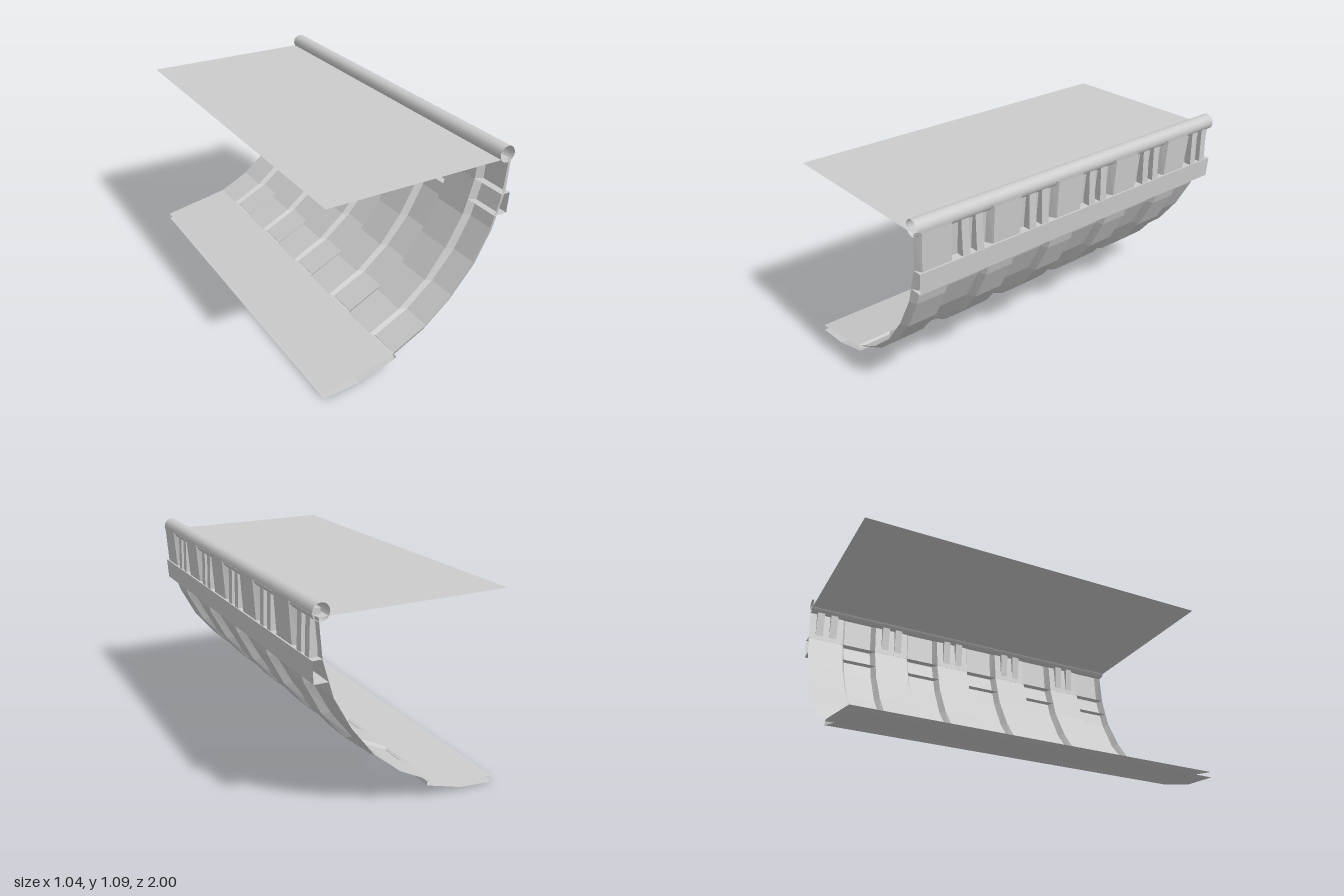
import * as THREE from 'three';

const material = new THREE.MeshStandardMaterial({ color: 0xcccccc, flatShading: true, side: THREE.DoubleSide });
const smooth = new THREE.MeshStandardMaterial({ color: 0xcccccc, side: THREE.DoubleSide });

// Skin a list of sections, each { z, profile: [[x, y], ...] }, ordered from front to back.
function skin(name, sections) {
  const positions = [];
  const index = [];
  const n = sections[0].profile.length;
  for (const { z, profile } of sections) for (const [x, y] of profile) positions.push(x, y, z);
  for (let s = 0; s < sections.length - 1; s++) {
    for (let i = 0; i < n - 1; i++) {
      const a = s * n + i, b = a + 1, c = a + n, d = c + 1;
      index.push(a, c, b, b, c, d);
    }
  }
  const geometry = new THREE.BufferGeometry();
  geometry.setAttribute('position', new THREE.Float32BufferAttribute(positions, 3));
  geometry.setIndex(index);
  geometry.computeVertexNormals();
  const mesh = new THREE.Mesh(geometry, material);
  mesh.name = name;
  return mesh;
}

// Straight strip of one profile between two z positions
const strip = (name, profile, z0 = 1, z1 = -1) =>
  skin(name, [{ z: z0, profile }, { z: z1, profile }]);

// Side profiles from bilge to rail: raised ribs and the recessed bays between them
const RAISED = [[-0.115, 0.1], [0.075, 0.195], [0.225, 0.32], [0.35, 0.47], [0.44, 0.64],
  [0.5, 0.83], [0.514, 1.03], [0.516, 1.045]];
const RECESSED = [[-0.135, 0.105], [0.04, 0.195], [0.19, 0.32], [0.31, 0.475], [0.405, 0.645],
  [0.46, 0.83], [0.48, 1.025], [0.516, 1.045]];

const BAYS = 5, PITCH = 0.4, BEVEL = 0.02, RIB = 0.16;

export function createModel() {
  const group = new THREE.Group();

  // Corrugated side wall
  const sections = [];
  for (let i = 0; i < BAYS; i++) {
    const z = 1 - i * PITCH;
    sections.push(
      { z, profile: RECESSED },
      { z: z - BEVEL, profile: RAISED },
      { z: z - BEVEL - RIB, profile: RAISED },
      { z: z - 2 * BEVEL - RIB, profile: RECESSED });
  }
  sections.push({ z: -1, profile: RECESSED });
  group.add(skin('sideWall', sections));

  // Two upright bars in each upper bay
  const bar = [[0.465, 0.835], [0.505, 0.835], [0.5, 1.055], [0.45, 1.055]];
  const barShape = new THREE.Shape(bar.map(([x, y]) => new THREE.Vector2(x, y)));
  const barGeometry = new THREE.ExtrudeGeometry(barShape, { depth: 0.042, bevelEnabled: false });
  for (let i = 0; i < BAYS; i++) {
    for (const offset of [-0.04, 0.04]) {
      const mesh = new THREE.Mesh(barGeometry, material);
      mesh.name = 'windowBar';
      mesh.position.z = 0.7 - i * PITCH + offset - 0.021;
      group.add(mesh);
    }
  }

  // Long rubbing strake below the bays
  group.add(strip('strake', [[0.43, 0.725], [0.503, 0.725], [0.51, 0.835], [0.46, 0.835]]));

  // Bottom plating with its ledge, and the inner floor above it
  group.add(strip('bottomPlate', [[-0.52, 0], [-0.324, 0.017], [-0.115, 0.08], [-0.118, 0.1], [-0.135, 0.105]]));
  group.add(strip('innerFloor', [[-0.52, 0.03], [-0.135, 0.105]]));

  // Deck
  group.add(strip('deck', [[-0.52, 1.025], [0.48, 1.025]]));

  // Round top rail, open at both ends
  const rail = new THREE.Mesh(new THREE.CylinderGeometry(0.043, 0.043, 2, 16, 1, true), smooth);
  rail.name = 'topRail';
  rail.rotation.x = Math.PI / 2;
  rail.position.set(0.468, 1.047, 0);
  group.add(rail);

  return group;
}
